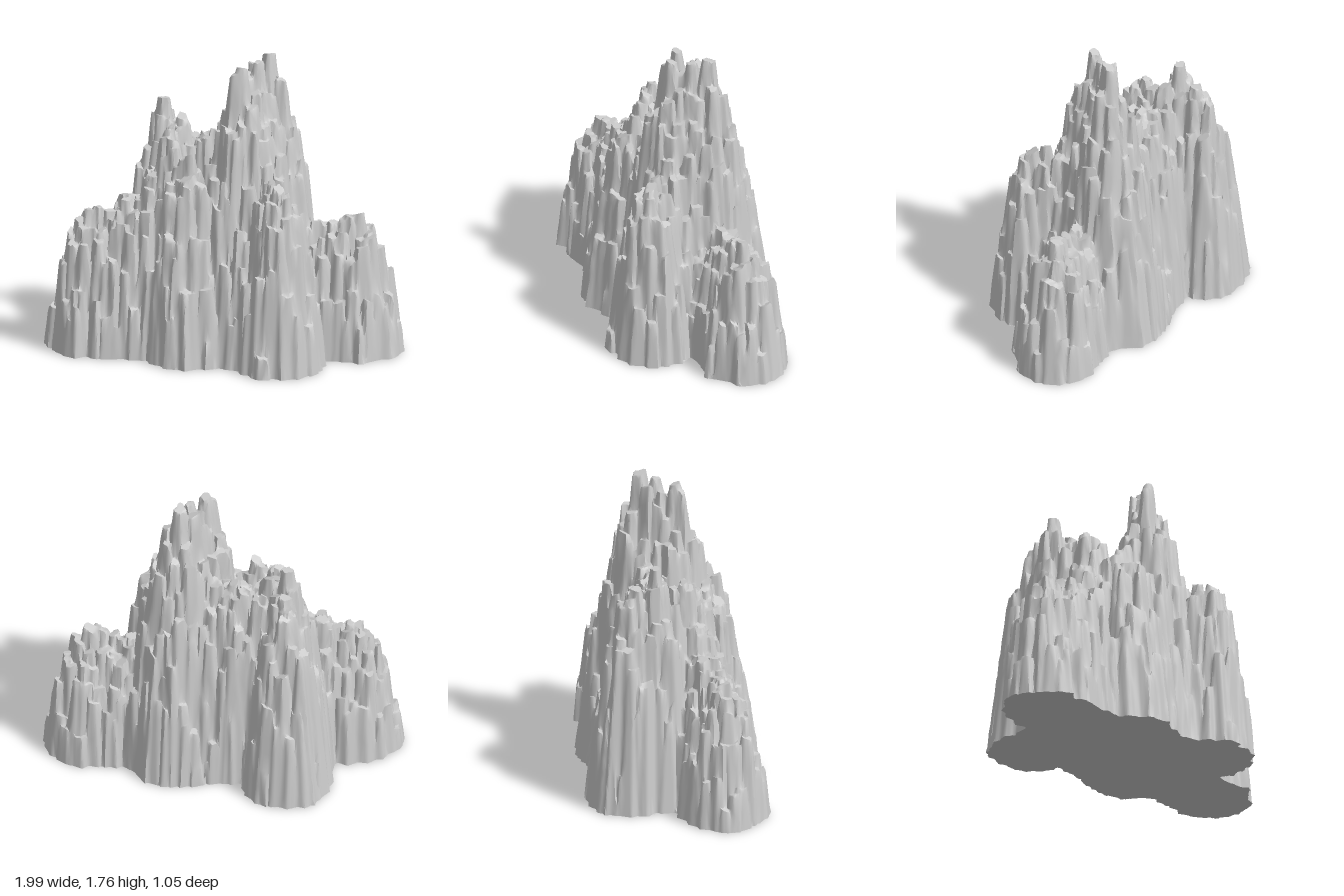
import * as THREE from 'three';
import { toCreasedNormals } from 'three/addons/utils/BufferGeometryUtils.js';

// Ridges: start (x, z, height), end (x, z, height), base radius, steepness power
const RIDGES = [
  { a: [0.12, 0.04, 1.71], b: [0.21, -0.15, 1.75], r: 0.34, p: 1.7 }, // main peak
  { a: [-0.42, -0.12, 1.42], b: [-0.46, -0.27, 1.25], r: 0.225, p: 2.3 }, // back right peak
  { a: [-0.3, -0.1, 1.32], b: [0.05, -0.15, 1.31], r: 0.24, p: 2.2 }, // saddle
  { a: [-0.32, 0.05, 1.29], b: [-0.14, 0.2, 1.2], r: 0.28, p: 2 }, // front peak
  { a: [-0.74, 0.24, 0.82], b: [-0.4, 0.15, 1.0], r: 0.235, p: 2.4 }, // right shoulder
  { a: [0.3, 0.1, 1.17], b: [0.42, 0.24, 1.08], r: 0.225, p: 2.3 }, // front left spur
  { a: [0.5, -0.16, 0.77], b: [0.73, -0.23, 0.82], r: 0.235, p: 2.4 }, // left shoulder
];

let seed = 7;
function rand() {
  seed = (seed * 16807) % 2147483647;
  return seed / 2147483647;
}
const jitter = (amount) => (rand() * 2 - 1) * amount;

// Height of one ridge at a point, falling off with distance from its crest line
function ridgeHeight({ a, b, r, p }, x, z) {
  const dx = b[0] - a[0], dz = b[1] - a[1];
  const t = THREE.MathUtils.clamp(((x - a[0]) * dx + (z - a[1]) * dz) / (dx * dx + dz * dz), 0, 1);
  const d = Math.hypot(x - a[0] - t * dx, z - a[1] - t * dz);
  return (a[2] + (b[2] - a[2]) * t) * (1 - Math.pow(d / r, p));
}
const envelope = (x, z) => Math.max(...RIDGES.map((ridge) => ridgeHeight(ridge, x, z)));

// One rock pillar: an irregular polygon with a tilted top and steep sides
function pillar(x, z, height) {
  const phase = rand() * Math.PI, sides = 6;
  const faces = Array.from({ length: sides }, (_, k) => {
    const angle = phase + (k + jitter(0.25)) / sides * 2 * Math.PI;
    return { nx: Math.cos(angle), nz: Math.sin(angle), size: 0.032 + jitter(0.012), slope: 12 + jitter(3.5) };
  });
  return { x, z, height, faces, tiltX: jitter(0.4), tiltZ: jitter(0.4) };
}

// Pillars on a staggered, jittered grid, plus one at each end of every crest
function scatterPillars() {
  const pillars = RIDGES.flatMap(({ a, b }) => [pillar(...a), pillar(...b)]);
  const step = 0.06;
  let row = 0;
  for (let z = -0.54; z < 0.54; z += step * 0.87, row++) {
    for (let x = -1 + (row % 2) * step / 2; x < 1; x += step) {
      const cx = x + jitter(0.022), cz = z + jitter(0.022);
      const height = envelope(cx, cz);
      if (height > 0.14) pillars.push(pillar(cx, cz, height * (0.95 + jitter(0.06))));
    }
  }
  return pillars;
}

// Ground height: the tallest pillar side or top at a point, below zero outside
function surfaceHeight(pillars, x, z) {
  let best = -1;
  for (const c of pillars) {
    const dx = x - c.x, dz = z - c.z;
    if (Math.abs(dx) > 0.3 || Math.abs(dz) > 0.3) continue;
    let drop = 0;
    for (const f of c.faces) drop = Math.max(drop, (dx * f.nx + dz * f.nz - f.size) * f.slope);
    const tilt = drop > 0 ? 0 : dx * c.tiltX + dz * c.tiltZ;
    best = Math.max(best, c.height + tilt - drop);
  }
  return best;
}

export function createModel() {
  const group = new THREE.Group();
  group.name = 'rockMountain';
  const pillars = scatterPillars();
  const heightAt = (x, z) => surfaceHeight(pillars, x, z);

  // Fine grid of heights
  const step = 0.0115, cols = 182, rows = 100;
  const top = [], heights = [];
  for (let j = 0; j <= rows; j++) {
    for (let i = 0; i <= cols; i++) {
      let x = (i - cols / 2) * step, z = (j - rows / 2) * step;
      const h = heightAt(x, z);
      heights.push(h);
      // Pull points just outside the foot back onto its outline
      if (h < 0 && h > -0.3) {
        const gx = (heightAt(x + 0.002, z) - heightAt(x - 0.002, z)) / 0.004;
        const gz = (heightAt(x, z + 0.002) - heightAt(x, z - 0.002)) / 0.004;
        const move = Math.min(-h / (gx * gx + gz * gz + 1), step / (Math.hypot(gx, gz) + 1));
        x += gx * move;
        z += gz * move;
      }
      top.push(x, Math.max(0, h), z);
    }
  }

  // Keep only the cells that touch rock
  const upper = [], lower = [];
  for (let j = 0; j < rows; j++) {
    for (let i = 0; i < cols; i++) {
      const a = j * (cols + 1) + i, b = a + 1, c = a + cols + 1, d = c + 1;
      if (Math.max(heights[a], heights[b], heights[c], heights[d]) <= 0) continue;
      // Split along the flatter diagonal so ledges stay crisp
      const split = Math.abs(heights[a] - heights[d]) < Math.abs(heights[b] - heights[c]);
      upper.push(...(split ? [a, c, d, a, d, b] : [a, c, b, b, c, d]));
      lower.push(a, d, c, a, b, d);
    }
  }

  const material = new THREE.MeshStandardMaterial({ color: 0xcccccc });
  const addMesh = (name, positions, index) => {
    const geo = new THREE.BufferGeometry();
    geo.setAttribute('position', new THREE.Float32BufferAttribute(positions, 3));
    geo.setIndex(index);
    const mesh = new THREE.Mesh(toCreasedNormals(geo, 0.9), material);
    mesh.name = name;
    group.add(mesh);
  };
  addMesh('rockFaces', top, upper);
  addMesh('underside', top.map((value, k) => (k % 3 === 1 ? 0 : value)), lower);
  return group;
}
